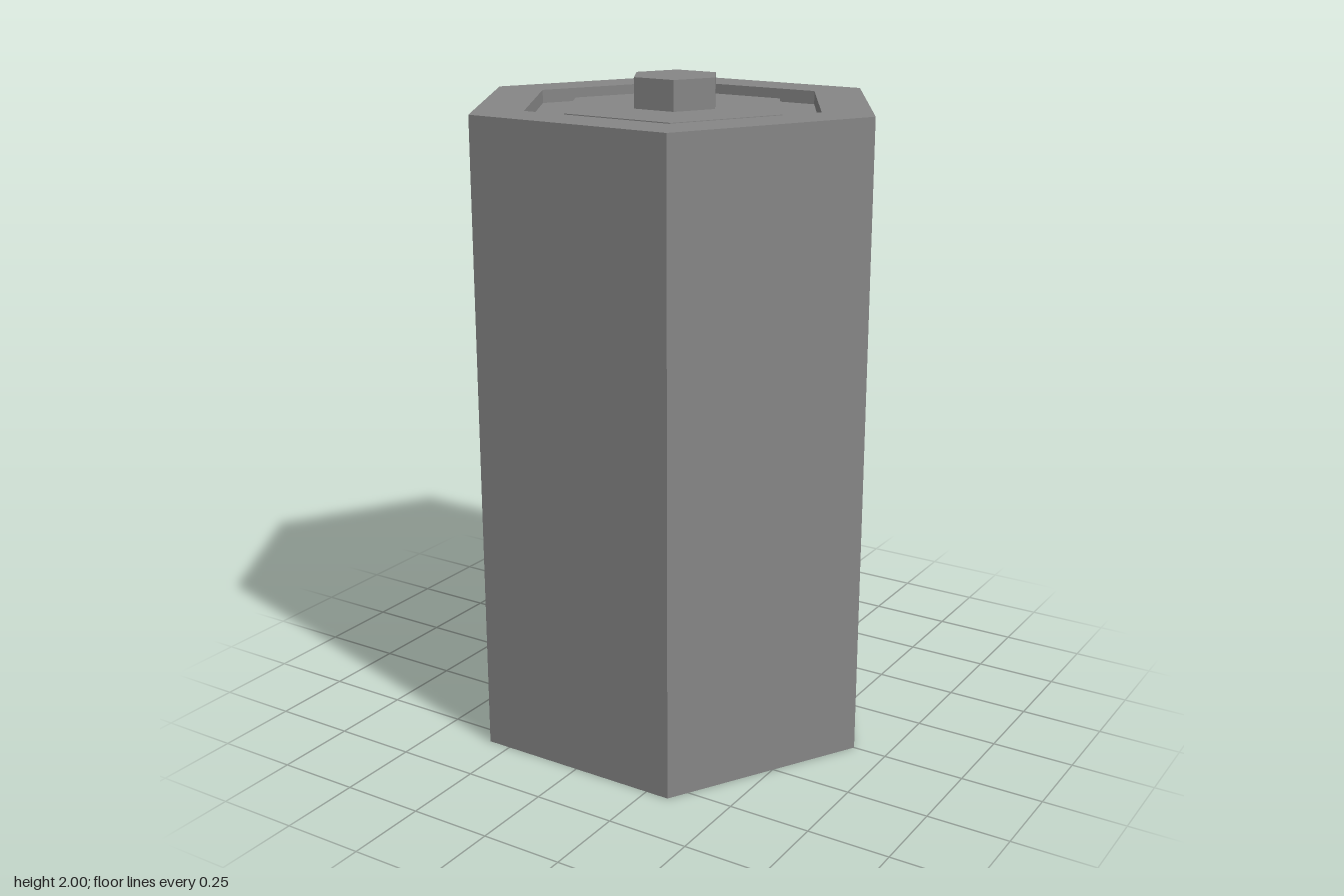
import * as THREE from 'three';

const SIDES = 6;
const BODY_TOP = 1.925, FLOOR = 1.885, PLATE_TOP = 1.91, TOP = 2;
const BODY_R = 0.646, RECESS_R = 0.48, PLATE_R = 0.357, STUD_R = 0.135;

export function createModel() {
  const model = new THREE.Group();
  model.name = 'hexagonalBattery';
  const material = new THREE.MeshStandardMaterial({ color: 0x868686, flatShading: true });

  // Six-sided turned part from a [radius, height] profile, with corners on the x axis
  const addPart = (name, profile) => {
    const points = profile.map(([r, y]) => new THREE.Vector2(r, y));
    const mesh = new THREE.Mesh(new THREE.LatheGeometry(points, SIDES, Math.PI / 2), material);
    mesh.name = name;
    model.add(mesh);
  };

  // Casing: closed bottom, straight wall, flat rim and sunken ring up to the plate
  addPart('casing', [
    [0, 0], [BODY_R, 0], [BODY_R, BODY_TOP],
    [RECESS_R, BODY_TOP], [RECESS_R, FLOOR], [PLATE_R, FLOOR],
  ]);

  // Raised plate inside the recess, open where the stud rises
  addPart('terminalPlate', [[PLATE_R, FLOOR], [PLATE_R, PLATE_TOP], [STUD_R, PLATE_TOP]]);

  // Small contact stud in the middle
  addPart('terminalStud', [[STUD_R, PLATE_TOP], [STUD_R, TOP], [0, TOP]]);

  return model;
}
